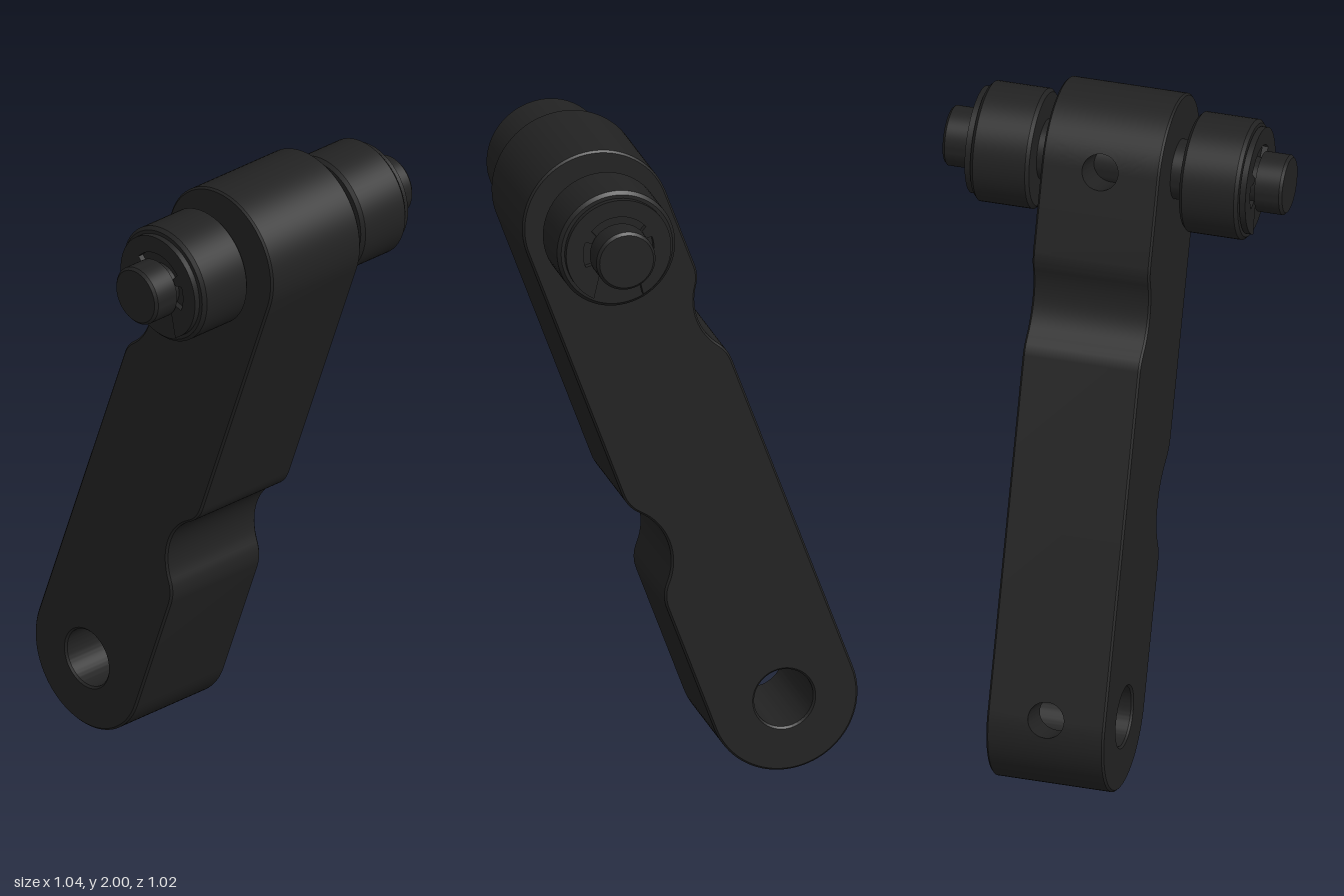
import * as THREE from 'three';
import { toCreasedNormals } from 'three/addons/utils/BufferGeometryUtils.js';

const R = 0.225;       // arm end radius and half width
const L = 0.826;       // arm centre to each pivot
const TILT = 0.353;    // lean of the arm
const BORE = 0.09;     // pin and bore radius
const SCREW = 0.055;   // cross hole radius
const HALF = 0.174;    // half thickness up to the chamfer
const CHAMFER = 0.006;
const FLAT = 0.09;     // patch length on the flat, before the pivot
const ARC = Math.PI / 8; // patch angle on the rounded end

const material = new THREE.MeshStandardMaterial({ color: 0x222222 });

function part(name, geometry) {
  const mesh = new THREE.Mesh(toCreasedNormals(geometry, 0.5), material);
  mesh.name = name;
  return mesh;
}

// One long edge with a filleted round notch, followed by the round end
function halfProfile(centre, depth) {
  const r = 0.18, rise = depth * 0.61;
  const phi = Math.acos((r - rise) / r);
  const e = r * Math.sin(phi);
  const ctrl = e + (depth - rise) / Math.tan(phi);
  const end = ctrl + (ctrl - e) / Math.cos(phi);
  const v = (x, y) => new THREE.Vector2(x, y);
  const fillet = (s) => new THREE.QuadraticBezierCurve(
    v(R, centre + s * end), v(R, centre + s * ctrl), v(R - depth + rise, centre + s * e)).getPoints(8);
  const pts = [v(R, -L + FLAT), ...fillet(-1)];
  for (let i = 1; i < 16; i++) {
    const a = phi * (i / 8 - 1);
    pts.push(v(R - depth + r - r * Math.cos(a), centre + r * Math.sin(a)));
  }
  pts.push(...fillet(1).reverse(), v(R, L - FLAT));
  for (let i = 0; i <= 48; i++) {
    const a = Math.PI * i / 48;
    pts.push(v(R * Math.cos(a), L + R * Math.sin(a)));
  }
  return pts;
}

// Patch of the arm's back edge around a cross hole, with the hole's wall
function holePatch(out, sign) {
  const s1 = R * ARC, border = [], n = 14;
  const corners = [[-FLAT, -HALF], [s1, -HALF], [s1, HALF], [-FLAT, HALF]];
  corners.forEach(([s, z], k) => {
    const [s2, z2] = corners[(k + 1) % 4];
    for (let i = 0; i < n; i++) border.push([s + (s2 - s) * i / n, z + (z2 - z) * i / n]);
  });
  const onArm = (s, z) => (s <= 0 ? [R, L + s, z] : [R * Math.cos(s / R), L + R * Math.sin(s / R), z]);
  const rows = [[]];
  for (let j = 0; j <= 8; j++) rows.push([]);
  for (const [s, z] of border) {
    const a = Math.atan2(z, s);
    const cs = SCREW * Math.cos(a), cz = SCREW * Math.sin(a);
    rows[0].push([Math.sqrt(BORE * BORE - cs * cs), L + cs, cz]);
    for (let j = 0; j <= 8; j++) rows[j + 1].push(onArm(cs + (s - cs) * j / 8, cz + (z - cz) * j / 8));
  }
  const put = (p) => out.push(p[0], sign * p[1], sign * p[2]);
  for (let j = 0; j + 1 < rows.length; j++) {
    for (let i = 0; i < border.length; i++) {
      const k = (i + 1) % border.length;
      const [a, b, c, d] = [rows[j][i], rows[j + 1][i], rows[j + 1][k], rows[j][k]];
      [a, b, c, a, c, d].forEach(put);
    }
  }
}

function armGeometry() {
  const back = halfProfile(0.405, 0.05);
  const front = halfProfile(0.21, 0.075).map((p) => p.negate());
  const shape = new THREE.Shape([...back, ...front]);
  shape.holes.push(new THREE.Path().absarc(0, -L, BORE, 0, Math.PI * 2, true));
  const solid = new THREE.ExtrudeGeometry(shape, {
    depth: HALF * 2, curveSegments: 48, bevelSegments: 1,
    bevelThickness: CHAMFER, bevelSize: CHAMFER, bevelOffset: -CHAMFER,
  }).translate(0, 0, -HALF);

  // Leave out the edge wall where the cross holes go
  const src = solid.attributes.position.array, out = [];
  for (let i = 0; i < src.length; i += 9) {
    const t = src.slice(i, i + 9);
    const x = (t[0] + t[3] + t[6]) / 3, y = Math.abs(t[1] + t[4] + t[7]) / 3;
    const z = Math.max(Math.abs(t[2]), Math.abs(t[5]), Math.abs(t[8]));
    const cut = z < HALF + 0.001 && x > 0.19 && y > L - FLAT && y < L + R * Math.sin(ARC);
    if (!cut) out.push(...t);
  }
  holePatch(out, 1);
  holePatch(out, -1);
  const geometry = new THREE.BufferGeometry();
  geometry.setAttribute('position', new THREE.Float32BufferAttribute(out, 3));
  return geometry.rotateY(Math.PI / 2);
}

// Turned part along x, from [radius, x] pairs
function turned(pairs) {
  return new THREE.LatheGeometry(pairs.map(([r, x]) => new THREE.Vector2(r, x)), 64).rotateZ(-Math.PI / 2);
}

// Retaining clip: open at the bottom, with tabs reaching into the pin groove
function clipGeometry() {
  const pts = [], deg = Math.PI / 180;
  const arc = (r, from, to) => {
    const n = Math.max(2, Math.ceil(Math.abs(to - from) / 5));
    for (let i = 0; i <= n; i++) {
      const a = (from + (to - from) * i / n) * deg;
      pts.push(new THREE.Vector2(r * Math.cos(a), r * Math.sin(a)));
    }
  };
  arc(0.16, -62, 242);
  arc(0.072, 222, 206);
  arc(0.108, 202, 160);
  arc(0.072, 156, 144);
  arc(0.108, 140, 40);
  arc(0.072, 36, 24);
  arc(0.108, 20, -22);
  arc(0.072, -26, -42);
  return new THREE.ExtrudeGeometry(new THREE.Shape(pts), { depth: 0.018, bevelEnabled: false })
    .rotateY(Math.PI / 2).translate(0.412, 0, 0);
}

export function createModel() {
  const model = new THREE.Group();
  model.name = 'rollerArm';

  const arm = part('arm', armGeometry());
  arm.rotation.x = TILT;
  arm.position.y = 1;
  model.add(arm);

  // Pin, rollers and clips on the upper pivot
  const axle = new THREE.Group();
  axle.name = 'axle';
  axle.position.set(0, 1 + L * Math.cos(TILT), L * Math.sin(TILT));
  model.add(axle);

  const end = [[BORE, 0.41], [0.07, 0.41], [0.07, 0.437], [BORE, 0.437], [BORE, 0.512], [0.082, 0.52], [0, 0.52]];
  const start = end.map(([r, x]) => [r, -x]).reverse();
  axle.add(part('pin', turned([...start, ...end])));

  for (const side of ['left', 'right']) {
    const set = new THREE.Group();
    set.name = side + 'RollerSet';
    set.rotation.y = side === 'left' ? 0 : Math.PI;
    set.add(part(side + 'Roller', turned([
      [BORE, 0.23], [0.17, 0.23], [0.18, 0.24], [0.18, 0.4], [0.17, 0.41], [BORE, 0.41]])));
    set.add(part(side + 'Clip', clipGeometry()));
    axle.add(set);
  }
  return model;
}
